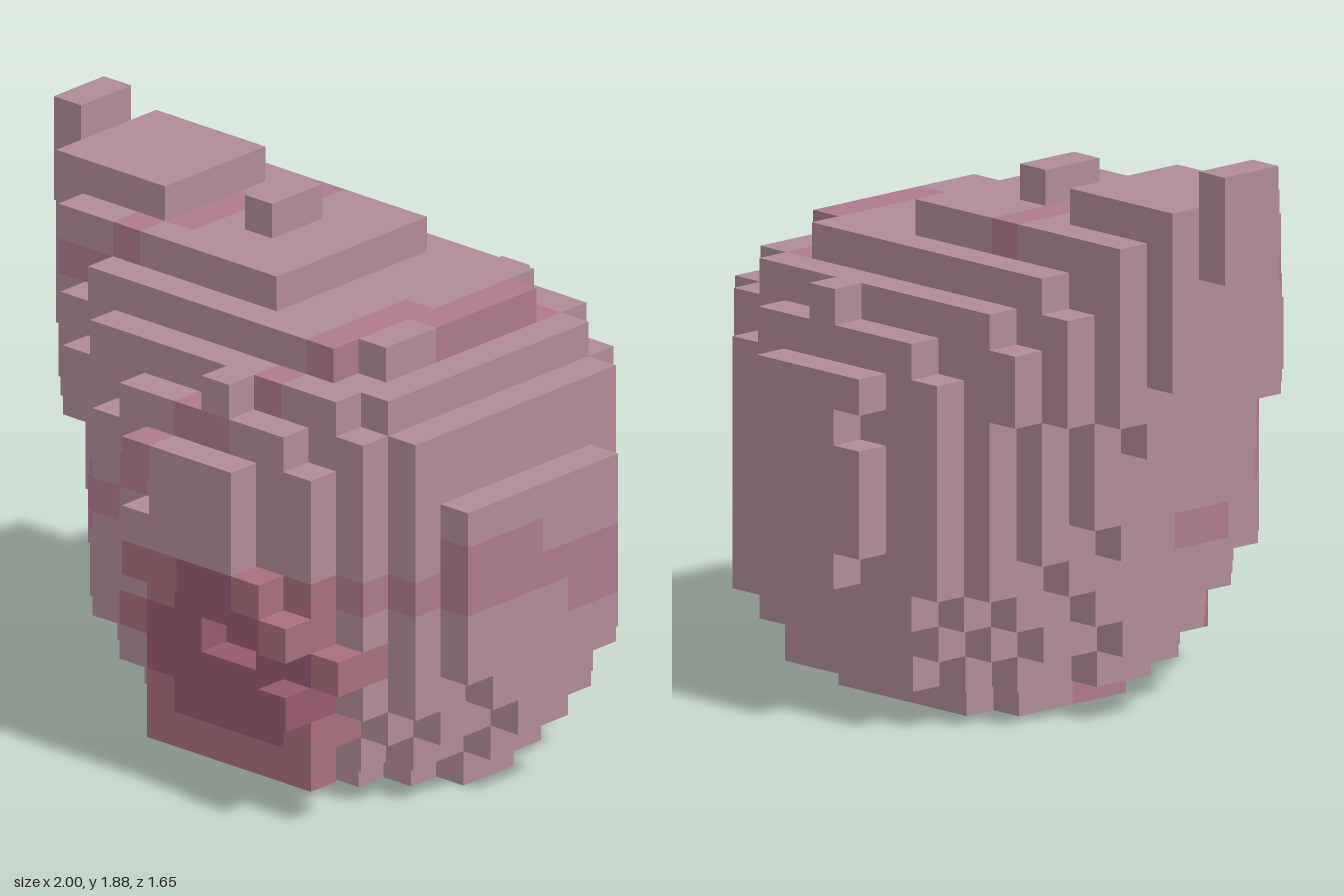
import * as THREE from 'three';

const V = 2 / 17;                 // block edge
const NX = 17, NY = 16, NZ = 14;

// per layer: first and last block in x, half depth in z
const ROWS = [
  [7, 14, 3], [5, 15, 5], [4, 16, 5], [4, 16, 6], [4, 16, 7], [3, 16, 7], [3, 16, 7], [3, 16, 7],
  [2, 16, 7], [2, 15, 7], [1, 15, 7], [1, 14, 6], [1, 13, 5], [0, 9, 3], [0, 4, 2], [0, 0, 1],
];
// half depth in z per column
const COLS = [1, 2, 3, 4, 5, 6, 7, 7, 7, 7, 7, 7, 6, 6, 5, 4, 3];

// round bulb swept to a small tip up and to the side
function inBulb(x, y, z, grow) {
  const c = [10.4, 6.5, 7], r = 1.0, t = [0.7, 14.4, 7];
  for (let s = 0; s <= 1; s += 0.04) {
    const dx = x - (c[0] + (t[0] - c[0]) * s);
    const dy = y - (c[1] + (t[1] - c[1]) * s);
    const rad = 7 + (r - 7) * s + grow;
    if (dx * dx + dy * dy + (z - 7) ** 2 <= rad * rad) return true;
  }
  return false;
}

// single raised blocks: knob on top, mouth corners
const EXTRAS = new Set(['7,14,6', '7,14,7', '12,6,13', '13,5,13', '13,3,13', '14,4,12']);
// short streak of pinker skin on the front
const STREAK = new Set(['3,5', '4,6', '5,6', '5,7', '6,7', '7,8', '8,9', '9,10', '10,10', '11,11',
  '2,12', '3,12', '4,13', '12,12', '7,0', '16,7']);

function filled(i, j, k) {
  if (i < 0 || j < 0 || k < 0 || i >= NX || j >= NY || k >= NZ) return false;
  if (EXTRAS.has(`${i},${j},${k}`)) return true;
  // flat muzzle with a small slot
  if (j >= 1 && j <= 5 && k >= 12) {
    if (k === 13) return false;
    if (j === 4 && (i === 10 || i === 11)) return false;
    if (i >= 8 && i <= 13) return true;
  }
  const [x0, x1, h] = ROWS[j];
  const d = Math.abs(k + 0.5 - 7);
  if (i < x0 || i > x1 || d > h || d > COLS[i]) return false;
  if (d < 1) return true;
  return inBulb(i + 0.5, j + 0.5, k + 0.5, j > 8 ? 0.45 : 0.05);
}

function partOf(i, j, k) {
  if (k >= 11 && i >= 7 && i <= 14 && j >= 1 && j <= 6) {
    const dark = (j === 2 && i >= 9 && i <= 12) || (j >= 3 && j <= 4 && i >= 8 && i <= 13) ||
      (j === 5 && i >= 9 && i <= 12) || (j === 6 && (i === 10 || i === 11));
    if (dark) return 'mouth';
    if ((j === 1 && i >= 8 && i <= 13) || (j === 2 && (i === 8 || i === 13)) || j === 4 ||
      (j === 5 && i >= 8 && i <= 13) || (j === 6 && i >= 8 && i <= 13)) return 'lips';
  }
  if (k > 6 && STREAK.has(`${i},${j}`)) return 'blush';
  if (i >= 12 && ((j === 6 && k > 3) || (j === 5 && k > 3 && k < 6) || (j === 7 && k > 6 && k < 10))) return 'blush';
  if (j > 9 && ((i === 13 && k > 2 && k < 8) || (i === 12 && k > 6 && k < 11) ||
    (i === 5 && k > 5 && k < 9) || (i === 6 && k > 3 && k < 7))) return 'blush';
  return 'skin';
}

// outward direction and two edge directions of each block face
const FACES = [
  [[1, 0, 0], [0, 1, 0], [0, 0, 1]], [[-1, 0, 0], [0, 0, 1], [0, 1, 0]],
  [[0, 1, 0], [0, 0, 1], [1, 0, 0]], [[0, -1, 0], [1, 0, 0], [0, 0, 1]],
  [[0, 0, 1], [1, 0, 0], [0, 1, 0]], [[0, 0, -1], [0, 1, 0], [1, 0, 0]],
];

export function createModel() {
  const group = new THREE.Group();
  group.name = 'blockBulb';
  const colors = { skin: 0xb08c98, blush: 0xae7a8d, mouth: 0x965a70, lips: 0xa86f7c };
  const points = { skin: [], blush: [], mouth: [], lips: [] };

  // outer faces of every block
  for (let i = 0; i < NX; i++) for (let j = 0; j < NY; j++) for (let k = 0; k < NZ; k++) {
    if (!filled(i, j, k)) continue;
    const out = points[partOf(i, j, k)];
    for (const [n, u, v] of FACES) {
      if (filled(i + n[0], j + n[1], k + n[2])) continue;
      for (const [a, b] of [[0, 0], [1, 0], [1, 1], [0, 0], [1, 1], [0, 1]]) {
        const p = [i, j, k].map((c, m) => c + Math.max(n[m], 0) + a * u[m] + b * v[m]);
        out.push((p[0] - NX / 2) * V, p[1] * V, (p[2] - NZ / 2) * V);
      }
    }
  }

  for (const name of Object.keys(points)) {
    const geo = new THREE.BufferGeometry();
    geo.setAttribute('position', new THREE.Float32BufferAttribute(points[name], 3));
    geo.computeVertexNormals();
    const mesh = new THREE.Mesh(geo, new THREE.MeshStandardMaterial({ color: colors[name] }));
    mesh.name = name;
    group.add(mesh);
  }
  return group;
}
